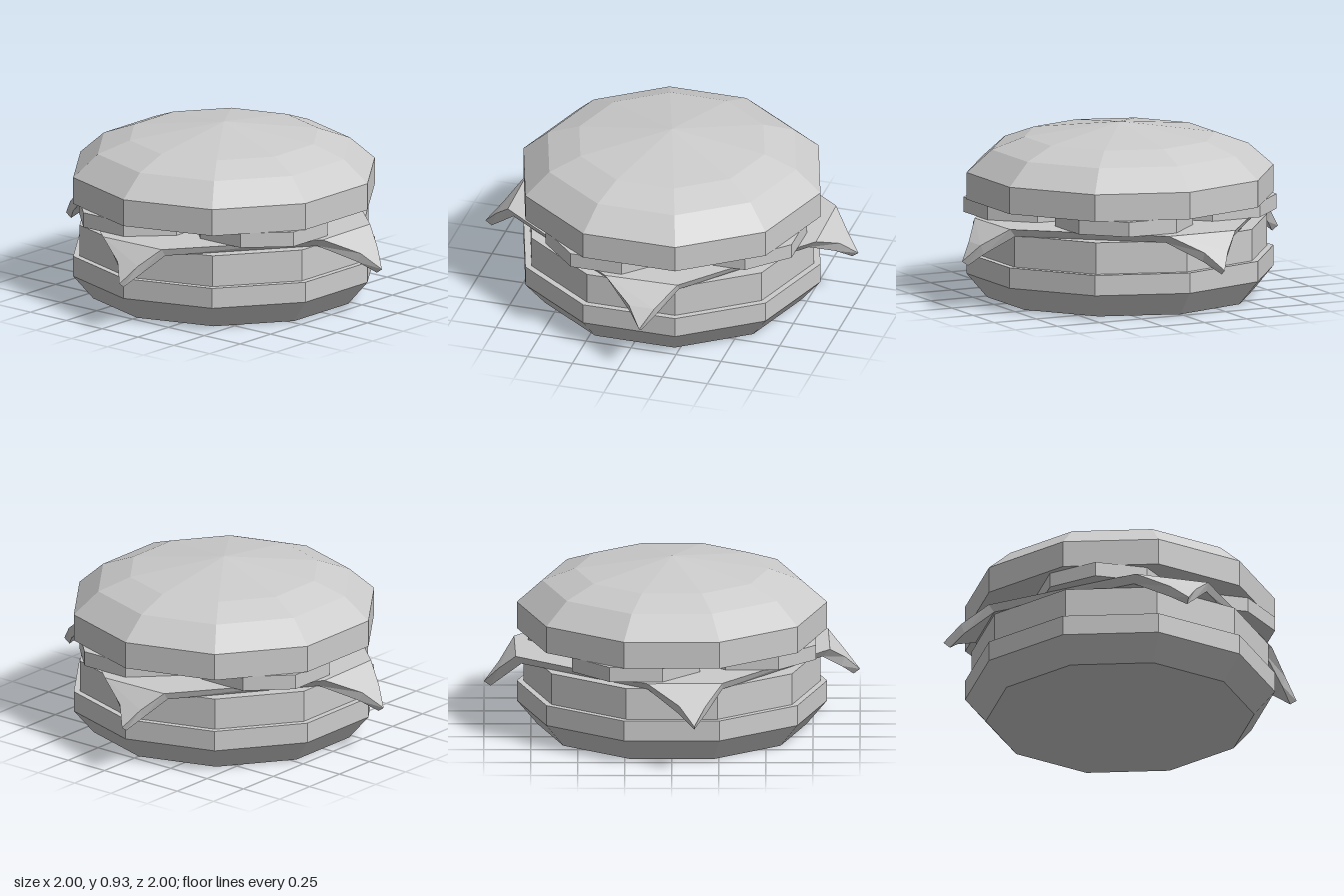
import * as THREE from 'three';

const material = new THREE.MeshStandardMaterial({ color: 0xcccccc, flatShading: true });

function addMesh(group, name, geometry) {
  const flat = geometry.index ? geometry.toNonIndexed() : geometry;
  flat.computeVertexNormals();
  const mesh = new THREE.Mesh(flat, material);
  mesh.name = name;
  group.add(mesh);
  return mesh;
}

// Ten-sided turned layer with a corner on the x axis; profile is [radius, y] from bottom to top
function turned(profile) {
  const points = profile.map(([r, y]) => new THREE.Vector2(r, y));
  return new THREE.LatheGeometry(points, 10, Math.PI / 2);
}

// Twisted square slice whose four corners droop in two folds
function cheeseGeometry() {
  const rim = { top: [], bottom: [] };
  for (let k = 0; k < 4; k++) {
    const a = k * Math.PI / 2;
    const extra = k % 2 ? 0.04 : 0; // side corners fold slightly further out
    // Each row: sideways offset, then outward distance and height of both skins
    const corner = [
      [-0.13, 0.80 + extra, 0.45, 0.76 + extra, 0.41],
      [0.04, 0.92, 0.36, 0.90, 0.31],
      [0.12, 1.00, 0.27, 0.965, 0.245],
      [0.18, 0.92, 0.36, 0.90, 0.31],
      [0.27, 0.79 + extra, 0.45, 0.76 + extra, 0.41],
    ];
    for (const [s, dTop, yTop, dBottom, yBottom] of corner) {
      const place = (d, y) => [
        Math.sin(a) * d + Math.cos(a) * s, y, Math.cos(a) * d - Math.sin(a) * s];
      rim.top.push(place(dTop, yTop));
      rim.bottom.push(place(dBottom, yBottom));
    }
  }
  const positions = [];
  const tri = (a, b, c) => positions.push(...a, ...b, ...c);
  const n = rim.top.length;
  for (const [skin, y, flip] of [[rim.top, 0.45, false], [rim.bottom, 0.41, true]]) {
    const face = (a, b, c) => (flip ? tri(a, c, b) : tri(a, b, c));
    const centre = [0, y, 0];
    for (let k = 0; k < 4; k++) {
      const [f0, k0, tip, k1, f1] = skin.slice(k * 5, k * 5 + 5);
      face(centre, f0, f1);
      face(centre, f1, skin[(k * 5 + 5) % n]);
      face(f0, k0, k1);
      face(f0, k1, f1);
      face(k0, tip, k1);
    }
  }
  // Cut edge around the slice
  for (let i = 0; i < n; i++) {
    const j = (i + 1) % n;
    tri(rim.bottom[i], rim.bottom[j], rim.top[j]);
    tri(rim.bottom[i], rim.top[j], rim.top[i]);
  }
  const geometry = new THREE.BufferGeometry();
  geometry.setAttribute('position', new THREE.Float32BufferAttribute(positions, 3));
  return geometry;
}

export function createModel() {
  const burger = new THREE.Group();
  burger.name = 'burger';

  addMesh(burger, 'bottomBun', turned([[0, 0], [0.715, 0], [0.825, 0.13], [0.825, 0.24], [0, 0.24]]));
  addMesh(burger, 'patty', turned([[0, 0.24], [0.79, 0.24], [0.79, 0.41], [0, 0.41]]));
  addMesh(burger, 'cheeseSlice', cheeseGeometry());

  // Four octagonal tomato slices in a pinwheel
  const tomatoes = new THREE.Group();
  tomatoes.name = 'tomatoSlices';
  const radius = 0.34 / Math.cos(Math.PI / 8);
  for (let k = 0; k < 4; k++) {
    const a = k * Math.PI / 2;
    const slice = addMesh(tomatoes, 'tomatoSlice',
      new THREE.CylinderGeometry(radius, radius, 0.08, 8, 1, false, Math.PI / 8));
    slice.position.set(
      -0.19 * Math.cos(a) + 0.425 * Math.sin(a), 0.49, 0.19 * Math.sin(a) + 0.425 * Math.cos(a));
  }
  burger.add(tomatoes);

  addMesh(burger, 'topBun', turned([
    [0, 0.53], [0.825, 0.53], [0.825, 0.675], [0.69, 0.795], [0.515, 0.86], [0, 0.93]]));
  return burger;
}
